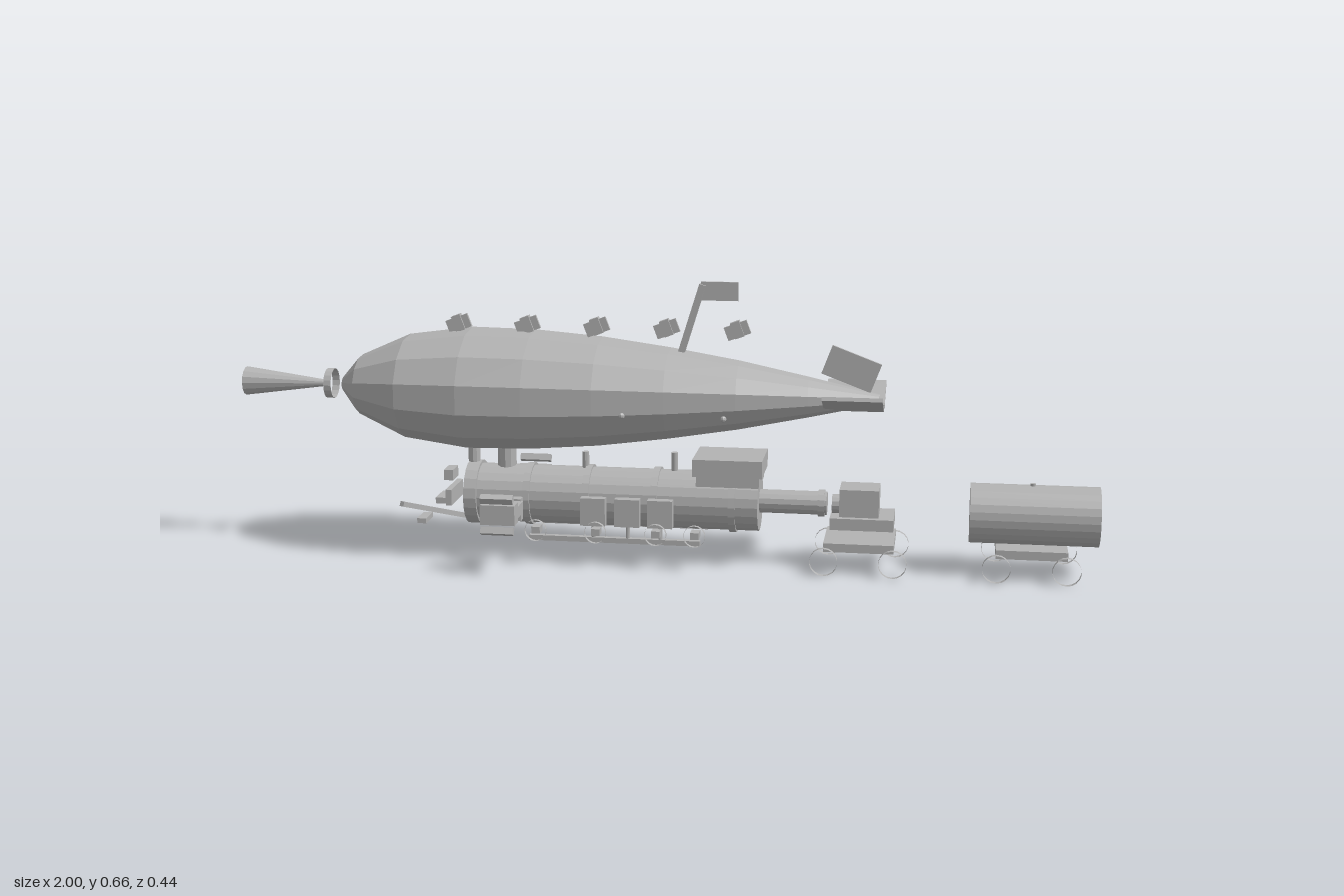
import * as THREE from 'three';

export function createModel() {
  const model = new THREE.Group();
  model.name = 'airshipTrain';
  const grey = new THREE.MeshStandardMaterial({ color: 0xb2b2b2, flatShading: true, side: THREE.DoubleSide });
  grey.name = 'plain grey';

  const add = (name, geo, x, y, z, rx = 0, ry = 0, rz = 0) => {
    const m = new THREE.Mesh(geo, grey);
    m.name = name;
    m.position.set(x, y, z);
    m.rotation.set(rx, ry, rz);
    model.add(m);
    return m;
  };
  const box = (name, w, h, d, x, y, z, rx, ry, rz) =>
    add(name, new THREE.BoxGeometry(w, h, d), x, y, z, rx, ry, rz);
  // cylinder lying along x, with separate radii for its -x and +x ends
  const tubeX = (name, x0, x1, r0, r1, y, z = 0, sides = 20, open = false) =>
    add(name, new THREE.CylinderGeometry(r1, r0, x1 - x0, sides, 1, open).rotateZ(-Math.PI / 2), (x0 + x1) / 2, y, z);
  const post = (name, r, y0, y1, x, z = 0) =>
    add(name, new THREE.CylinderGeometry(r, r, y1 - y0, 10), x, (y0 + y1) / 2, z);
  // thin open wheel rim whose axle runs along z
  const rim = (name, r, w, x, y, z) =>
    add(name, new THREE.CylinderGeometry(r, r, w, 18, 1, true).rotateX(Math.PI / 2), x, y, z);

  // Gas envelope: a faceted, slightly flattened spindle
  const profile = [[-0.76, 0], [-0.76, 0.02], [-0.715, 0.083], [-0.6, 0.144], [-0.45, 0.168], [-0.3, 0.165],
    [-0.14, 0.15], [0.02, 0.125], [0.18, 0.094], [0.34, 0.055], [0.5, 0.013], [0.5, 0]];
  const hull = new THREE.LatheGeometry(profile.map(([x, r]) => new THREE.Vector2(r, x)), 13, Math.PI);
  hull.rotateZ(-Math.PI / 2).scale(1, 0.84, 1);
  add('envelope', hull, 0, 0.395, 0);

  // Nose ring and horn
  tubeX('noseRing', -0.8, -0.782, 0.035, 0.035, 0.395, 0, 18, true);
  tubeX('noseHorn', -1, -0.8, 0.034, 0.007, 0.395, 0, 14);

  // Tail fins
  box('topFin', 0.12, 0.07, 0.007, 0.435, 0.463, 0, 0, 0, -0.36);
  for (const s of [-1, 1]) {
    box('sideFin', 0.135, 0.009, 0.1, 0.443, 0.394, s * 0.065, -s * 0.42, 0, 0);
    // Small lamps along the flanks
    for (const x of [-0.07, 0.16]) add('lamp', new THREE.SphereGeometry(0.007, 8, 6), x, 0.368, s * 0.144);
  }

  // Mast with flag
  box('mast', 0.015, 0.175, 0.016, 0.068, 0.565, 0, 0, 0, -0.3);
  box('flag', 0.085, 0.043, 0.006, 0.133, 0.634, 0);

  // Row of tilted pennants along the crest
  for (let i = 0; i < 5; i++) {
    const x = -0.478 + i * 0.163;
    box('pennant', 0.055, 0.032, 0.008, x, 0.545, 0, 0, 0, 0.36);
    box('pennantClip', 0.022, 0.038, 0.018, x, 0.547, 0, 0, 0, 0.36);
  }

  // Boiler, smokebox flange and bands
  tubeX('boiler', -0.44, 0.23, 0.068, 0.068, 0.145);
  tubeX('smokeboxFlange', -0.458, -0.428, 0.075, 0.075, 0.145);
  for (const x of [-0.31, -0.17, -0.01, 0.17]) tubeX('boilerBand', x - 0.008, x + 0.008, 0.073, 0.073, 0.145);
  post('chimney', 0.022, 0.2, 0.262, -0.368);
  post('chimneyFront', 0.014, 0.2, 0.255, -0.447);
  post('valve', 0.008, 0.2, 0.25, -0.18);
  post('valve', 0.008, 0.2, 0.255, 0.03);

  // Cab on top of the boiler
  box('cab', 0.145, 0.06, 0.122, 0.16, 0.22, 0);
  box('cabRoof', 0.16, 0.04, 0.138, 0.16, 0.235, 0);

  // Rear coupling tube
  tubeX('rearTube', 0.23, 0.385, 0.027, 0.027, 0.147, 0, 14);
  tubeX('rearCollar', 0.365, 0.38, 0.031, 0.031, 0.147, 0, 14);
  tubeX('rearNozzle', 0.397, 0.42, 0.022, 0.022, 0.147, 0, 14);

  // Running gear, side boxes and outriggers, mirrored
  for (const s of [-1, 1]) {
    box('sideRail', 0.4, 0.012, 0.014, -0.1, 0.06, s * 0.076);
    for (const x of [-0.148, -0.068, 0.008]) {
      box('sideBox', 0.058, 0.065, 0.022, x, 0.128, s * 0.082);
      post('sideBoxLeg', 0.005, 0.06, 0.1, x, s * 0.076);
    }
    for (const x of [-0.28, -0.14, 0, 0.09]) {
      rim('driveWheel', 0.025, 0.01, x, 0.083, s * 0.102);
      box('axleBox', 0.02, 0.016, 0.03, x, 0.083, s * 0.088);
    }
    box('bracket', 0.07, 0.052, 0.024, -0.345, 0.134, s * 0.109);
    box('outriggerArm', 0.03, 0.027, 0.055, -0.32, 0.142, s * 0.146);
    box('outriggerBlock', 0.08, 0.046, 0.038, -0.345, 0.143, s * 0.19);
    box('outriggerFoot', 0.075, 0.016, 0.016, -0.345, 0.181, s * 0.21, s * 0.5);
    box('outriggerFoot', 0.075, 0.016, 0.016, -0.345, 0.107, s * 0.21, -s * 0.5);
  }

  // Loose bars ahead of the smokebox: a diagonal plough bar and short cross pieces
  const bar = box('ploughBar', 0.012, 0.012, 0.22, -0.55, 0.095, 0);
  bar.lookAt(-0.6, 0.13, 0.09);
  box('lowerCrossbar', 0.022, 0.012, 0.06, -0.58, 0.066, -0.03);
  box('middleCrossbar', 0.025, 0.014, 0.07, -0.522, 0.127, 0);
  box('upperCrossbar', 0.022, 0.025, 0.05, -0.505, 0.187, 0);
  box('bufferPost', 0.014, 0.038, 0.11, -0.498, 0.14, 0);

  // Wheeled flat wagon bases, shared by both trailing cars
  const wagon = (name, x) => {
    box(name + 'Base', 0.16, 0.02, 0.152, x, 0.062, 0);
    for (const dx of [-0.078, 0.078])
      for (const s of [-1, 1]) rim(name + 'Wheel', 0.032, 0.012, x + dx, 0.032, s * 0.089);
  };

  // Tender with stacked load
  wagon('tender', 0.462);
  box('tenderDeck', 0.145, 0.027, 0.11, 0.467, 0.112, 0);
  box('tenderLoad', 0.09, 0.065, 0.08, 0.46, 0.157, 0);

  // Tank car
  wagon('tankCar', 0.85);
  tubeX('tank', 0.71, 1, 0.068, 0.068, 0.138, 0, 24);
  post('tankCap', 0.006, 0.2, 0.211, 0.85);

  return model;
}
